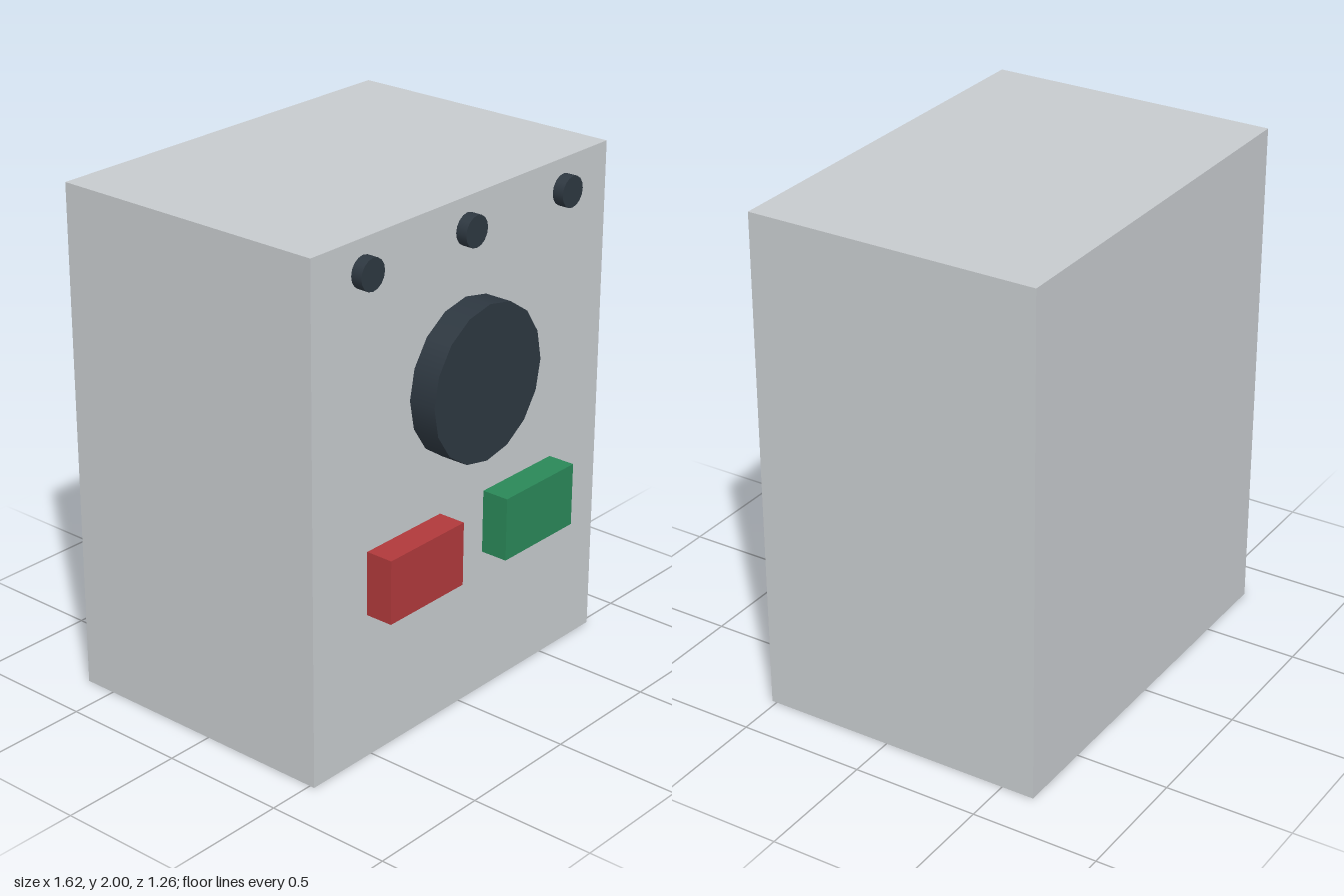
import * as THREE from 'three';

const FRONT = 0.52; // z of the cabinet's front panel

function paint(color) {
  const material = new THREE.MeshStandardMaterial();
  material.color.set(color);
  return material;
}

export function createModel() {
  const model = new THREE.Group();
  const dark = paint(0x2d3740);

  const add = (name, geometry, material, x, y, z) => {
    const mesh = new THREE.Mesh(geometry, material);
    mesh.name = name;
    mesh.position.set(x, y, z);
    model.add(mesh);
  };

  // Round part standing out from the front panel
  const addDisc = (name, radius, depth, x, y) => {
    const geometry = new THREE.CylinderGeometry(radius, radius, depth, 16).rotateX(Math.PI / 2);
    add(name, geometry, dark, x, y, FRONT + depth / 2);
  };

  // Rectangular push button on the front panel
  const addButton = (name, color, x) => {
    add(name, new THREE.BoxGeometry(0.4, 0.25, 0.11), paint(color), x, 0.703, FRONT + 0.055);
  };

  // Cabinet
  add('cabinet', new THREE.BoxGeometry(1.62, 2, 1.15), paint(0xc6cacd), 0, 1, FRONT - 0.575);

  // Large dial and the row of indicator knobs above it
  addDisc('dial', 0.3, 0.11, 0, 1.328);
  addDisc('rightIndicator', 0.06, 0.045, -0.55, 1.88);
  addDisc('centreIndicator', 0.06, 0.045, 0, 1.88);
  addDisc('leftIndicator', 0.06, 0.045, 0.55, 1.88);

  // Push buttons
  addButton('redButton', 0xb0393b, -0.325);
  addButton('greenButton', 0x2a8758, 0.325);

  return model;
}
